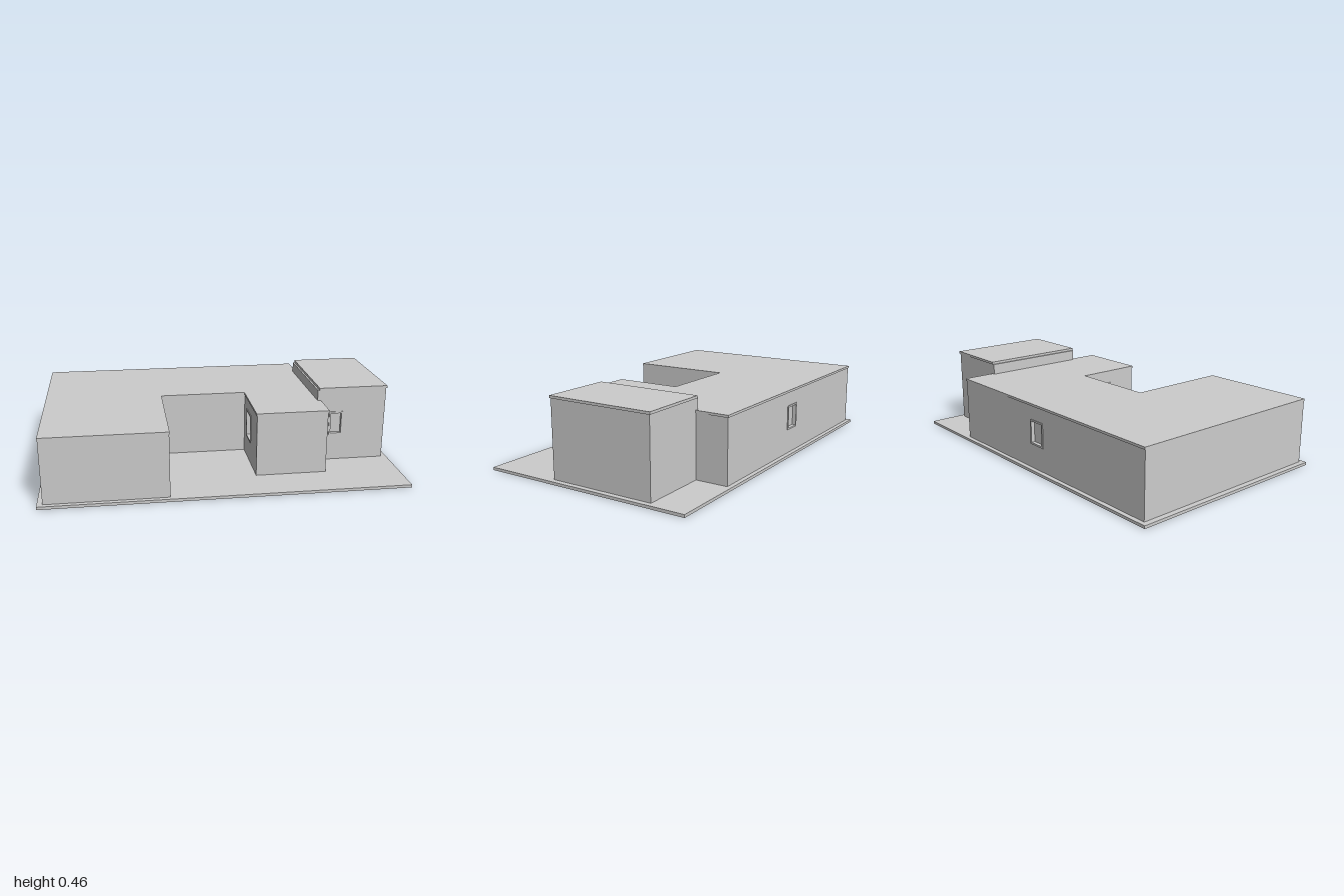
import * as THREE from 'three';

const plaster = new THREE.MeshStandardMaterial({ color: 0xcccccc });
plaster.name = 'light grey';

const GROUND = 0.016;
const WALL = 0.025; // wall thickness

function add(parent, name, geometry) {
  const mesh = new THREE.Mesh(geometry, plaster);
  mesh.name = name;
  parent.add(mesh);
  return mesh;
}

function rect(Type, x0, y0, x1, y1) {
  return new Type([[x0, y0], [x1, y0], [x1, y1], [x0, y1]].map(p => new THREE.Vector2(...p)));
}

const extrude = (shape, depth) => new THREE.ExtrudeGeometry(shape, { depth, bevelEnabled: false });

// Flat slab from a plan outline given as [x, z]
function slab(parent, name, plan, y0, y1) {
  const shape = new THREE.Shape(plan.map(([x, z]) => new THREE.Vector2(x, -z)));
  const mesh = add(parent, name, extrude(shape, y1 - y0).rotateX(-Math.PI / 2));
  mesh.position.y = y0;
}

// One wall panel per side of the plan; a window is [u0, y0, u1, y1] along its wall
function walls(parent, plan, top, windows) {
  plan.forEach((a, i) => {
    const b = plan[(i + 1) % plan.length];
    const dx = b[0] - a[0], dz = b[1] - a[1];
    const side = new THREE.Group();
    side.name = 'wallSide';
    side.position.set(a[0], 0, a[1]);
    side.rotation.y = Math.atan2(-dz, dx);
    parent.add(side);

    const shape = rect(THREE.Shape, 0, GROUND, Math.hypot(dx, dz), top);
    const win = windows[i];
    if (win) {
      const [u0, y0, u1, y1] = win, t = 0.01;
      shape.holes.push(rect(THREE.Path, u0, y0, u1, y1));
      // Frame stands slightly proud, pane sits back in the opening
      const ring = rect(THREE.Shape, u0, y0, u1, y1);
      ring.holes.push(rect(THREE.Path, u0 + t, y0 + t, u1 - t, y1 - t));
      add(side, 'windowFrame', extrude(ring, WALL + 0.004)).position.z = -WALL;
      add(side, 'windowPane', extrude(rect(THREE.Shape, u0, y0, u1, y1), 0.005)).position.z = -WALL + 0.003;
    }
    add(side, 'wall', extrude(shape, WALL)).position.z = -WALL;
  });
}

export function createModel() {
  const model = new THREE.Group();
  model.name = 'house';

  // Ground plate
  slab(model, 'basePlate', [[-1, 0.613], [1, 0.613], [1, -0.613], [-1, -0.613]], 0, GROUND);

  // U-shaped main house around a front courtyard
  const main = new THREE.Group();
  main.name = 'mainHouse';
  model.add(main);
  walls(main, [
    [-0.97, 0.588], [-0.312, 0.588], [-0.312, -0.012], [0.184, -0.012],
    [0.184, 0.376], [0.582, 0.376], [0.582, -0.588], [-0.97, -0.588],
  ], 0.368, { 3: [0.08, 0.14, 0.21, 0.305], 6: [0.66, 0.152, 0.77, 0.292] });
  slab(main, 'mainRoof', [
    [-0.972, 0.59], [-0.31, 0.59], [-0.31, -0.007], [0.18, -0.007],
    [0.18, 0.381], [0.587, 0.381], [0.587, -0.592], [-0.972, -0.592],
  ], 0.368, 0.381);

  // Taller side block
  const block = new THREE.Group();
  block.name = 'tallBlock';
  model.add(block);
  walls(block, [[0.567, 0.202], [0.97, 0.202], [0.97, -0.405], [0.567, -0.405]],
    0.441, { 0: [0.073, 0.17, 0.155, 0.31] });
  slab(block, 'blockRoof', [[0.577, 0.206], [0.975, 0.206], [0.975, -0.41], [0.577, -0.41]], 0.441, 0.455);

  return model;
}
